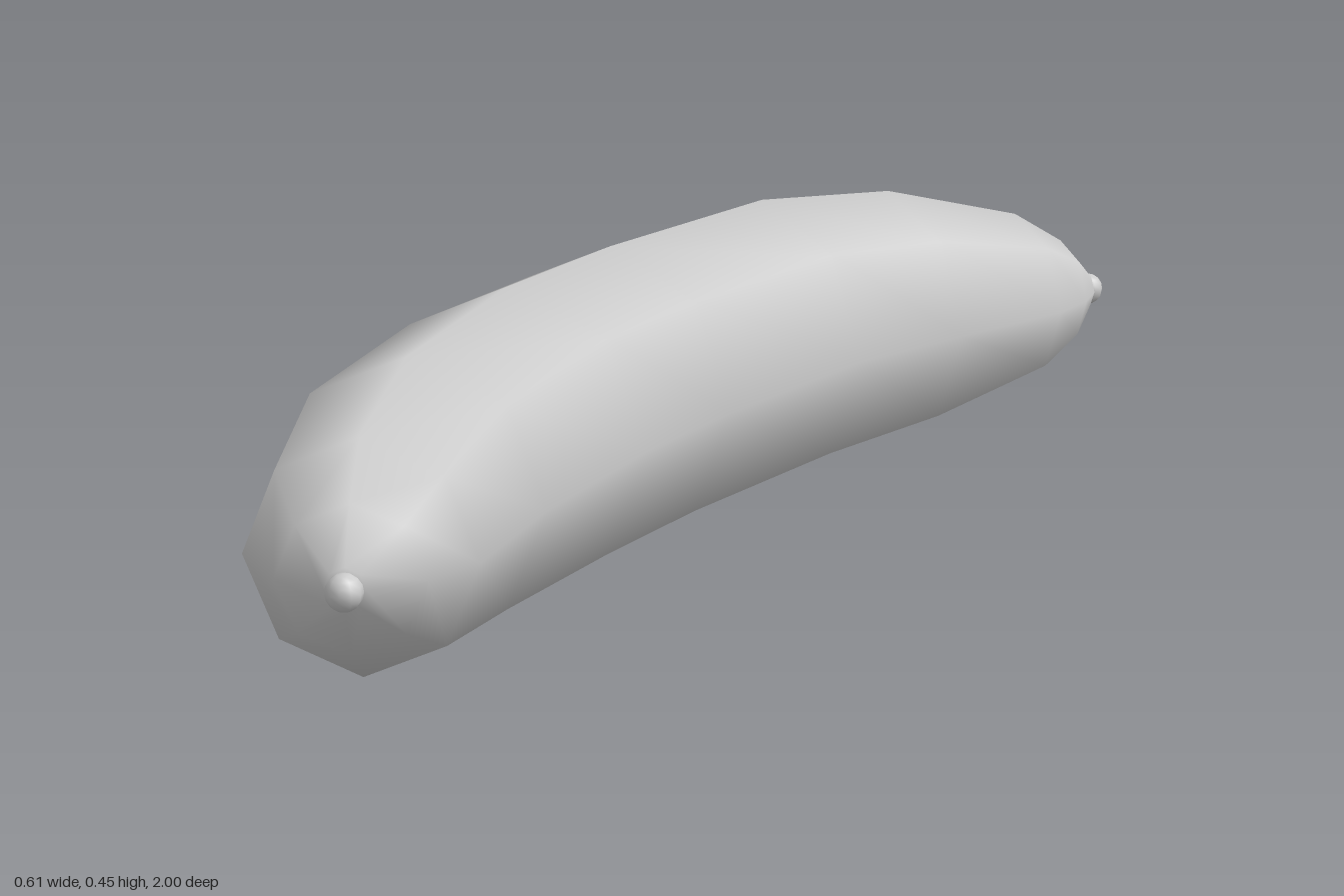
import * as THREE from 'three';

const SIDES = 8;
const MID_Y = 0.223;

// Cross-sections from back to front:
// [outer x, outer z, inner x, inner z, half height]
const RINGS = [
  [0.235, -0.987, 0.292, -0.957, 0.033],
  [0.17, -0.985, 0.305, -0.89, 0.085],
  [0.07, -0.94, 0.298, -0.80, 0.137],
  [-0.12, -0.75, 0.222, -0.58, 0.2],
  [-0.25, -0.475, 0.15, -0.36, 0.222],
  [-0.305, -0.04, 0.11, -0.0, 0.223],
  [-0.307, 0.31, 0.1, 0.23, 0.222],
  [-0.25, 0.65, 0.12, 0.55, 0.2],
  [-0.13, 0.90, 0.16, 0.79, 0.16],
  [-0.035, 0.97, 0.14, 0.885, 0.1],
  [0.045, 0.978, 0.095, 0.957, 0.03],
];

// Smooth skin lofted through the tilted octagonal rings, closed at both ends
function bodyGeometry() {
  const pos = [];
  const index = [];
  for (const [ox, oz, ix, iz, h] of RINGS) {
    for (let j = 0; j < SIDES; j++) {
      const a = (j / SIDES) * Math.PI * 2;
      const t = (1 + Math.cos(a)) / 2;
      pos.push(ox + (ix - ox) * t, MID_Y + h * Math.sin(a), oz + (iz - oz) * t);
    }
  }
  const last = RINGS.length - 1;
  for (const i of [0, last]) {
    const [ox, oz, ix, iz] = RINGS[i];
    pos.push((ox + ix) / 2, MID_Y, (oz + iz) / 2);
  }
  const backTip = RINGS.length * SIDES;
  for (let j = 0; j < SIDES; j++) {
    const k = (j + 1) % SIDES;
    for (let i = 0; i < last; i++) {
      const a = i * SIDES + j, b = i * SIDES + k;
      index.push(a, b, b + SIDES, a, b + SIDES, a + SIDES);
    }
    index.push(backTip, k, j);
    index.push(backTip + 1, last * SIDES + j, last * SIDES + k);
  }
  const geo = new THREE.BufferGeometry();
  geo.setAttribute('position', new THREE.Float32BufferAttribute(pos, 3));
  geo.setIndex(index);
  geo.computeVertexNormals();
  return geo;
}

export function createModel() {
  const group = new THREE.Group();
  group.name = 'sausage';
  const material = new THREE.MeshStandardMaterial({ color: 0xcccccc });

  const body = new THREE.Mesh(bodyGeometry(), material);
  body.name = 'body';
  group.add(body);

  // Small knots at the two ends
  const knot = new THREE.SphereGeometry(0.025, 10, 8);
  for (const [name, x, z] of [['frontKnot', 0.073, 0.975], ['backKnot', 0.272, -0.975]]) {
    const mesh = new THREE.Mesh(knot, material);
    mesh.name = name;
    mesh.position.set(x, MID_Y, z);
    group.add(mesh);
  }
  return group;
}
